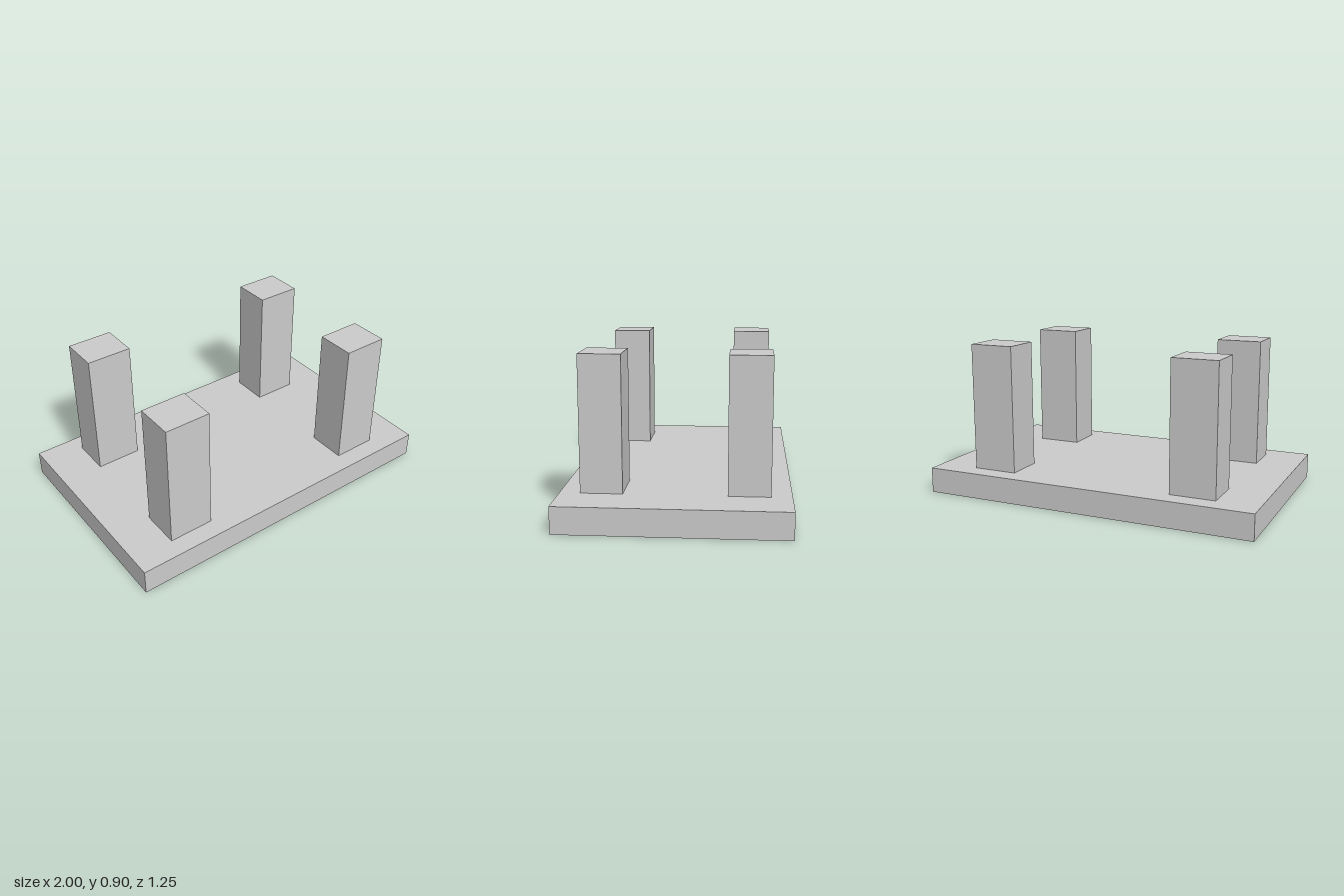
import * as THREE from 'three';

export function createModel() {
  const model = new THREE.Group();
  model.name = 'upturnedTable';
  const material = new THREE.MeshStandardMaterial({ color: 0xcccccc, flatShading: true });

  const slabHeight = 0.15;
  const legHeight = 0.75;

  // Box standing on the given base height
  function addBox(name, width, height, depth, x, baseY, z) {
    const mesh = new THREE.Mesh(new THREE.BoxGeometry(width, height, depth), material);
    mesh.name = name;
    mesh.position.set(x, baseY + height / 2, z);
    model.add(mesh);
  }

  // Flat slab
  addBox('tableTop', 2, slabHeight, 1.245, 0, 0, 0);

  // Four upright legs, mirrored in x and z
  for (const [side, sx] of [['Left', 1], ['Right', -1]]) {
    for (const [end, sz] of [['front', 1], ['back', -1]]) {
      addBox(`${end}${side}Leg`, 0.267, legHeight, 0.23, sx * 0.622, slabHeight, sz * 0.395);
    }
  }

  return model;
}
